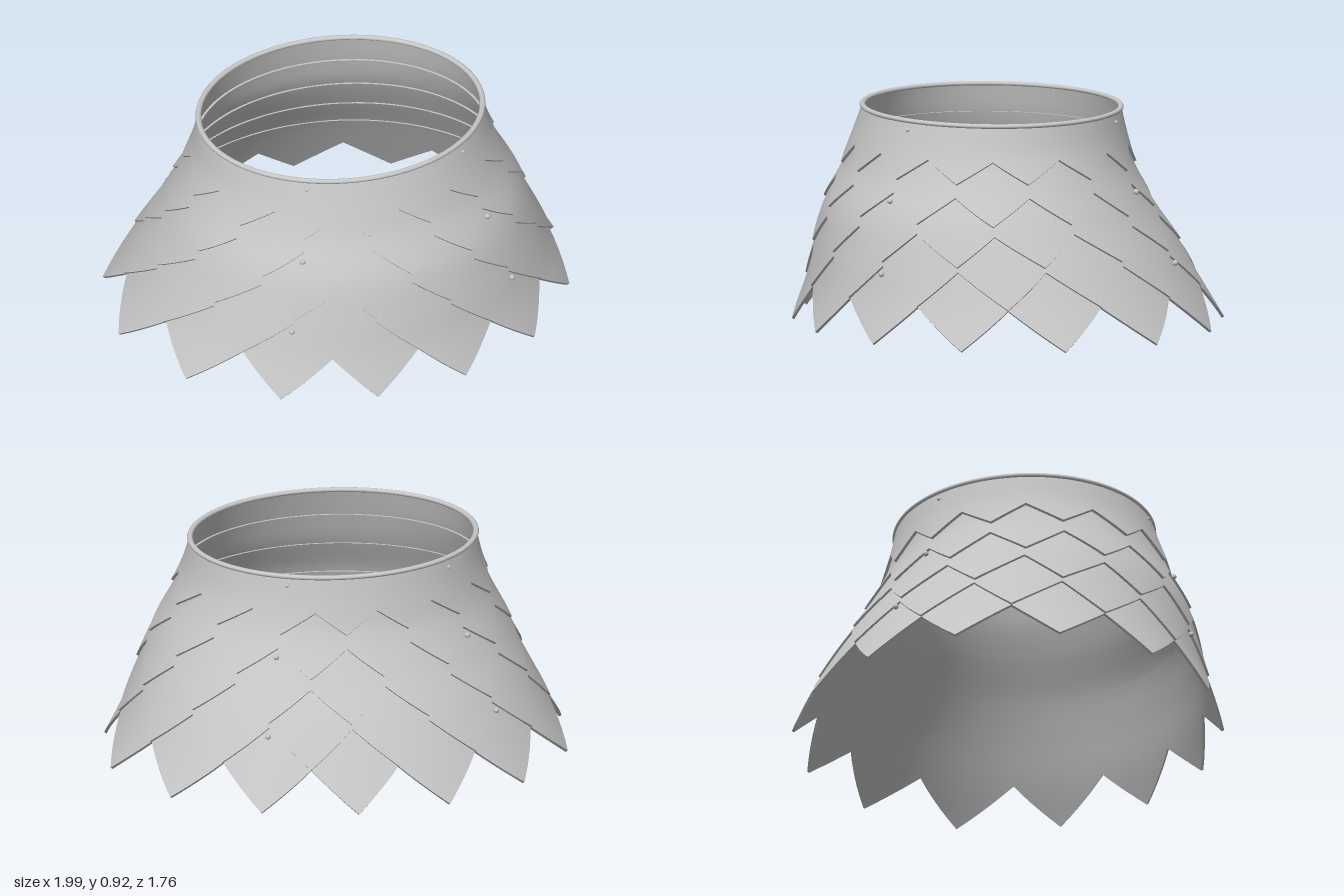
import * as THREE from 'three';

const POINTS = 14, COLS = POINTS * 10, STEP = (Math.PI * 2) / POINTS;
const THICK = 0.01, LIFT = 0.02;

// Body cross-sections by height: side radius, front z, back z
const heights = [0, 0.17, 0.34, 0.5, 0.67, 0.78, 0.92];
const sections = [
  0.98, 0.88, -0.885,
  0.895, 0.83, -0.795,
  0.82, 0.795, -0.70,
  0.75, 0.755, -0.60,
  0.67, 0.675, -0.515,
  0.63, 0.64, -0.49,
  0.605, 0.6, -0.47,
];
const profile = new THREE.CubicInterpolant(heights, sections, 3);

// Point on the body at a polar angle (0 = front), pushed outwards by offset
function bodyPoint(angle, y, offset) {
  const [rx, zf, zb] = profile.evaluate(y);
  const a = rx + offset, b = (zf - zb) / 2 + offset;
  const s = Math.sin(angle), c = Math.cos(angle);
  const r = 1 / Math.hypot(s / a, c / b);
  const cx = -0.01 * THREE.MathUtils.smoothstep(y, 0.3, 0.9);
  return new THREE.Vector3(cx + r * s, y, (zf + zb) / 2 + r * c);
}

// Closed ring of quads; v runs top to bottom for an outward-facing surface
function ringSurface(rows, pointAt) {
  const pos = [], index = [];
  for (let j = 0; j <= rows; j++)
    for (let i = 0; i < COLS; i++) pos.push(...pointAt((i / COLS) * Math.PI * 2, j / rows).toArray());
  for (let j = 0; j < rows; j++)
    for (let i = 0; i < COLS; i++) {
      const n = (i + 1) % COLS;
      const a = j * COLS + i, b = j * COLS + n, c = a + COLS, d = b + COLS;
      index.push(a, c, b, b, c, d);
    }
  const g = new THREE.BufferGeometry();
  g.setAttribute('position', new THREE.Float32BufferAttribute(pos, 3));
  g.setIndex(index);
  g.computeVertexNormals();
  return g;
}

// Tiers from the top down: notch height, point height, upper edge
const tiers = [
  { notch: 0.76, tip: 0.67, top: 0.905 },
  { notch: 0.615, tip: 0.505, top: 0.785 },
  { notch: 0.465, tip: 0.34, top: 0.64 },
  { notch: 0.32, tip: 0.173, top: 0.49 },
  { notch: 0.17, tip: 0.006, top: 0.345 },
];

export function createModel() {
  const model = new THREE.Group();
  const grey = new THREE.MeshStandardMaterial({ color: 0xc6c6c6 });
  grey.name = 'light grey';

  const add = (parent, geometry, name) => {
    const mesh = new THREE.Mesh(geometry, grey);
    mesh.name = name;
    parent.add(mesh);
    return mesh;
  };

  // Outward flare of a tier at a height
  const flare = (k, y) => {
    const start = k ? tiers[k - 1].notch : 0.9;
    const t = (start - y) / (start - tiers[k].tip);
    return LIFT * THREE.MathUtils.clamp(t, -0.1, 1);
  };

  // Overlapping tiers with zigzag hems, points staggered from tier to tier
  tiers.forEach(({ notch, tip, top }, k) => {
    const tier = new THREE.Group();
    tier.name = 'tier' + (k + 1);
    const hem = (angle) => {
      const u = angle / STEP + (k % 2 ? 0.5 : 0);
      const w = 1 - Math.abs(2 * (u - Math.floor(u)) - 1);
      return notch + (tip - notch) * w;
    };
    const outer = (a, v) => {
      const y = top + (hem(a) - top) * v;
      return bodyPoint(a, y, flare(k, y));
    };
    const inner = (a, v) => {
      const y = top + (hem(a) - top) * v;
      const p = bodyPoint(a, y, flare(k, y) - THICK);
      p.y -= 0.006 * v;
      return p;
    };
    add(tier, ringSurface(12, outer), 'outerFace');
    add(tier, ringSurface(12, (a, v) => inner(a, 1 - v)), 'innerFace');
    add(tier, ringSurface(1, (a, v) => (v ? inner : outer)(a, 1)), 'hemEdge');
    add(tier, ringSurface(1, (a, v) => (v ? outer : inner)(a, 0)), 'upperEdge');
    model.add(tier);
  });

  // Rounded bead around the top opening
  add(model, ringSurface(12, (a, v) => {
    const t = Math.PI / 2 - v * Math.PI * 2;
    const p = bodyPoint(a, 0.905, -0.002 + 0.012 * Math.cos(t));
    p.y += 0.01 * Math.sin(t);
    return p;
  }), 'topRim');

  // Four small studs on each of three tiers
  const studs = [[0, 0.868, 0.008], [1, 0.582, 0.012], [3, 0.288, 0.012]];
  for (const [k, y, radius] of studs)
    for (const side of [1.5, 5.5, 8.5, 12.5]) {
      const stud = add(model, new THREE.SphereGeometry(radius, 12, 8), 'stud');
      stud.position.copy(bodyPoint(side * STEP, y, flare(k, y) + 0.003));
    }

  return model;
}
